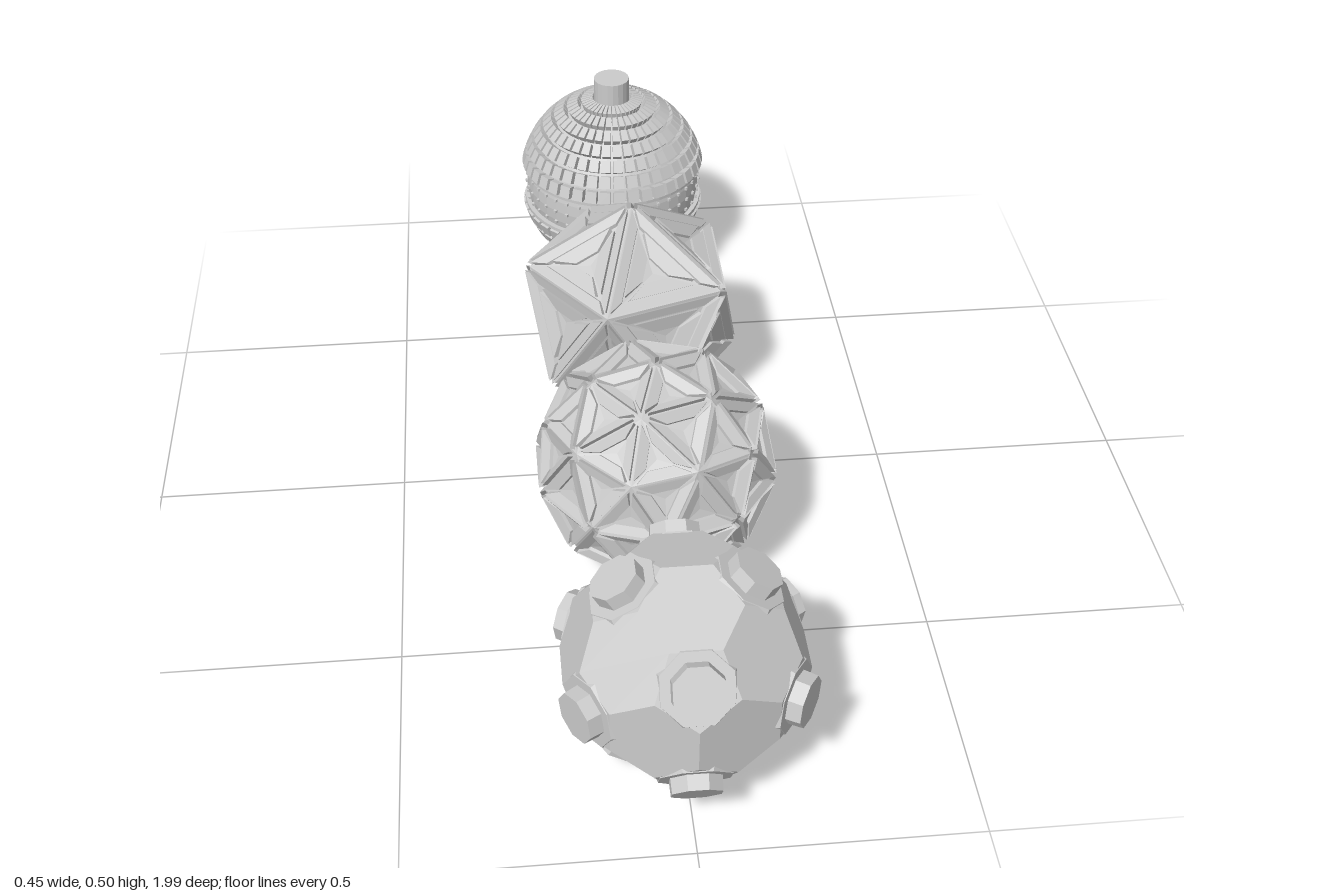
import * as THREE from 'three';
import { mergeGeometries } from 'three/addons/utils/BufferGeometryUtils.js';
import { ConvexGeometry } from 'three/addons/geometries/ConvexGeometry.js';

const material = new THREE.MeshStandardMaterial({ color: 0xcccccc, flatShading: true });
const Y = new THREE.Vector3(0, 1, 0);
const polar = (r, lat, lon) => new THREE.Vector3(
  r * Math.cos(lat) * Math.cos(lon), r * Math.sin(lat), r * Math.cos(lat) * Math.sin(lon));

function add(group, geometry, name) {
  const mesh = new THREE.Mesh(geometry, material);
  mesh.name = name;
  group.add(mesh);
  return mesh;
}

function geometryFrom(points) {
  const g = new THREE.BufferGeometry().setFromPoints(points);
  g.computeVertexNormals();
  return g;
}

// Raised block: loop of base corners joined to a loop of top corners, facing away from the centre
function block(out, base, top) {
  const n = new THREE.Vector3().subVectors(top[1], top[0])
    .cross(new THREE.Vector3().subVectors(top[2], top[0]));
  if (n.dot(top[0]) < 0) { base = [...base].reverse(); top = [...top].reverse(); }
  const c = top.length;
  for (let i = 0; i < c; i++) {
    const j = (i + 1) % c;
    out.push(base[i], base[j], top[j], base[i], top[j], top[i]);
  }
  for (let i = 1; i < c - 1; i++) out.push(top[0], top[i], top[i + 1]);
}

// Triangles of an icosahedral sphere with a corner straight up
function triangles(radius, detail) {
  const g = new THREE.IcosahedronGeometry(radius, detail);
  const axis = new THREE.Vector3(1, (1 + Math.sqrt(5)) / 2, 0).normalize();
  g.applyQuaternion(new THREE.Quaternion().setFromUnitVectors(axis, Y));
  const p = g.attributes.position, list = [];
  for (let i = 0; i < p.count; i += 3) {
    list.push([0, 1, 2].map(k => new THREE.Vector3().fromBufferAttribute(p, i + k)));
  }
  return list;
}

// Faceted ball whose faces sink to the middle, with sloping panels along every edge
function panelBall(name, radius, detail, sink, steps) {
  const group = new THREE.Group();
  group.name = name;
  const core = [], panels = [];
  for (const tri of triangles(radius, detail)) {
    const mid = new THREE.Vector3().add(tri[0]).add(tri[1]).add(tri[2]).divideScalar(3);
    const low = mid.clone().multiplyScalar(sink);
    for (let k = 0; k < 3; k++) {
      const a = tri[k], b = tri[(k + 1) % 3];
      core.push(a, b, low);
      for (const [t0, t1, h0, h1, gap] of steps) {
        // corner on the panel: t toward the face middle, s along the edge, h outward scale
        const at = (t, s, h) => new THREE.Vector3().lerpVectors(a, b, s).lerp(mid, t).multiplyScalar(h);
        const quad = (o, i, e) => [at(t0, e, o), at(t0, 1 - e, o), at(t1, 1 - e, i), at(t1, e, i)];
        block(panels, quad(0.96, sink * 0.96, gap * 0.6), quad(h0, h1, gap));
      }
    }
  }
  add(group, geometryFrom(core), 'core');
  add(group, geometryFrom(panels), 'edgePanels');
  return group;
}

// Ball of pentagons and hexagons with a stud on each pentagon
function studBall() {
  const group = new THREE.Group();
  group.name = 'studBall';
  const t = (1 + Math.sqrt(5)) / 2, corners = [];
  for (const s of [-1, 1]) for (const u of [-t, t]) {
    corners.push(new THREE.Vector3(s, u, 0), new THREE.Vector3(0, s, u), new THREE.Vector3(u, 0, s));
  }
  corners.forEach(c => c.setLength(0.2475));
  const points = [];
  for (const a of corners) for (const b of corners) {
    if (a !== b && a.distanceTo(b) < 0.3) points.push(a.clone().lerp(b, 1 / 3));
  }
  add(group, new ConvexGeometry(points), 'body');
  for (const c of corners) {
    const dir = c.clone().normalize();
    const stud = mergeGeometries([
      new THREE.CylinderGeometry(0.046, 0.048, 0.04, 8, 1, false, Math.PI / 8).translate(0, 0.21, 0),
      new THREE.CylinderGeometry(0.066, 0.07, 0.01, 8, 1, false, Math.PI / 8).translate(0, 0.1985, 0),
    ]);
    add(group, stud, 'stud').quaternion.setFromUnitVectors(Y, dir);
  }
  return group;
}

// Ball clad in rows of tiles, with a recessed studded belt and a cap
function tiledBall() {
  const group = new THREE.Group();
  group.name = 'tiledBall';
  const columns = 40, rows = 7, step = Math.PI * 2 / columns;
  add(group, new THREE.SphereGeometry(0.2, columns, 24), 'core');

  const tiles = [], dots = [];
  const patch = (r, lat0, lat1, lon, half) => [
    polar(r, lat0, lon - half), polar(r, lat0, lon + half),
    polar(r, lat1, lon + half), polar(r, lat1, lon - half)];
  const start = 0.235, span = (1.4 - start) / rows;
  for (let c = 0; c < columns; c++) {
    const lon = c * step;
    for (const side of [-1, 1]) for (let r = 0; r < rows; r++) {
      const a = start + r * span, b = a + span * 0.84;
      block(tiles, patch(0.195, side * a, side * b, lon, step * 0.42),
        patch(0.217, side * (a + 0.008), side * (b - 0.008), lon, step * 0.38));
    }
    // belt studs
    for (const lat of [-0.14, 0, 0.14]) {
      block(dots, patch(0.197, lat - 0.018, lat + 0.018, lon, 0.02),
        patch(0.205, lat - 0.014, lat + 0.014, lon, 0.015));
    }
  }
  add(group, geometryFrom(tiles), 'tiles');
  add(group, geometryFrom(dots), 'beltStuds');

  // rims above and below the belt
  for (const side of [-1, 1]) {
    const rim = new THREE.CylinderGeometry(0.206, 0.206, 0.008, columns).translate(0, side * 0.046, 0);
    add(group, rim, 'beltRim');
  }
  add(group, new THREE.CylinderGeometry(0.04, 0.04, 0.07, 20).translate(0, 0.225, 0), 'cap');
  add(group, new THREE.CylinderGeometry(0.04, 0.036, 0.02, 20).translate(0, -0.2, 0), 'bottomPlug');
  return group;
}

export function createModel() {
  const model = new THREE.Group();
  model.name = 'fourBalls';
  // each step: start and end toward the face middle, outer and inner height, end gap
  const balls = [
    studBall(),
    panelBall('fineStarBall', 0.226, 1, 0.98, [[0.1, 0.55, 1.055, 1.02, 0.07]]),
    panelBall('coarseStarBall', 0.24, 0, 0.96, [
      [0.07, 0.3, 1.06, 1.03, 0.03],
      [0.36, 0.75, 1.04, 1.0, 0.08],
    ]),
    tiledBall(),
  ];
  balls.forEach((ball, i) => {
    ball.position.set(0, 0.25, 0.78 - 0.52 * i);
    model.add(ball);
  });
  return model;
}
